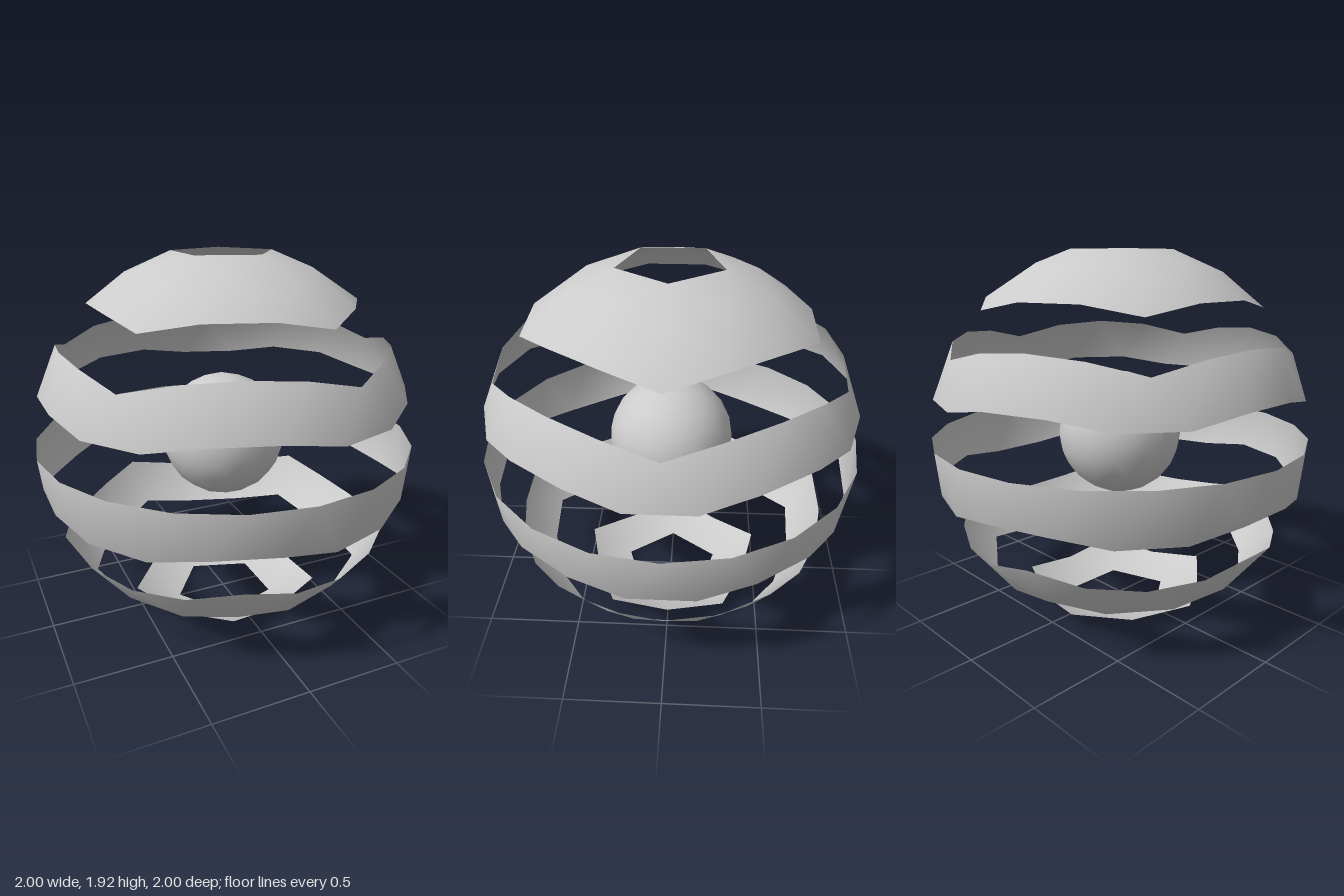
import * as THREE from 'three';

const CENTER_Y = 0.962;

// Unit icosahedron standing on a vertex. Each corner carries its latitude row (0 = top pole, 12 = bottom pole).
function baseFaces() {
  const corner = (y, degrees, row) => {
    const a = THREE.MathUtils.degToRad(degrees), r = Math.sqrt(1 - y * y);
    return { p: new THREE.Vector3(r * Math.cos(a), y, r * Math.sin(a)), row };
  };
  const h = 1 / Math.sqrt(5);
  const top = corner(1, 0, 0), bottom = corner(-1, 0, 12);
  const faces = [];
  for (let i = 0; i < 5; i++) {
    const u0 = corner(h, 72 * i, 4), u1 = corner(h, 72 * (i + 1), 4);
    const l0 = corner(-h, 72 * i + 36, 8), l1 = corner(-h, 72 * i + 108, 8);
    faces.push([top, u1, u0], [u0, u1, l0], [l0, u1, l1], [l0, l1, bottom]);
  }
  return faces;
}

// Split every triangle in four, pushing the midpoints out to the sphere
function subdivide(faces) {
  const mid = (a, b) => ({ p: a.p.clone().add(b.p).normalize(), row: (a.row + b.row) / 2 });
  return faces.flatMap(([a, b, c]) => {
    const ab = mid(a, b), bc = mid(b, c), ca = mid(c, a);
    return [[a, ab, ca], [ab, b, bc], [ca, bc, c], [ab, bc, ca]];
  });
}

// Smooth geometry from the triangles lying between two latitude rows
function sphereBand(faces, radius, fromRow, toRow) {
  const positions = [], normals = [];
  for (const face of faces) {
    const row = Math.min(...face.map((v) => v.row));
    if (row < fromRow || row >= toRow) continue;
    for (const { p } of face) {
      positions.push(p.x * radius, p.y * radius, p.z * radius);
      normals.push(p.x, p.y, p.z);
    }
  }
  const geometry = new THREE.BufferGeometry();
  geometry.setAttribute('position', new THREE.Float32BufferAttribute(positions, 3));
  geometry.setAttribute('normal', new THREE.Float32BufferAttribute(normals, 3));
  return geometry;
}

export function createModel() {
  const group = new THREE.Group();
  group.name = 'bandedSphere';
  const faces = subdivide(subdivide(baseFaces()));

  const add = (name, radius, fromRow, toRow, side) => {
    const material = new THREE.MeshStandardMaterial({ color: 0xcccccc, side });
    const mesh = new THREE.Mesh(sphereBand(faces, radius, fromRow, toRow), material);
    mesh.name = name;
    mesh.position.y = CENTER_Y;
    group.add(mesh);
  };

  // Open shell bands, separated by missing rows
  const bands = [
    ['topCap', 1, 3],
    ['upperBand', 4, 5],
    ['middleBand', 6, 7],
    ['lowerBand', 8, 9],
    ['bottomBand', 10, 11],
  ];
  for (const [name, from, to] of bands) add(name, 1, from, to, THREE.DoubleSide);

  // Closed ball floating in the middle
  add('innerBall', 0.33, 0, 12, THREE.FrontSide);

  return group;
}
